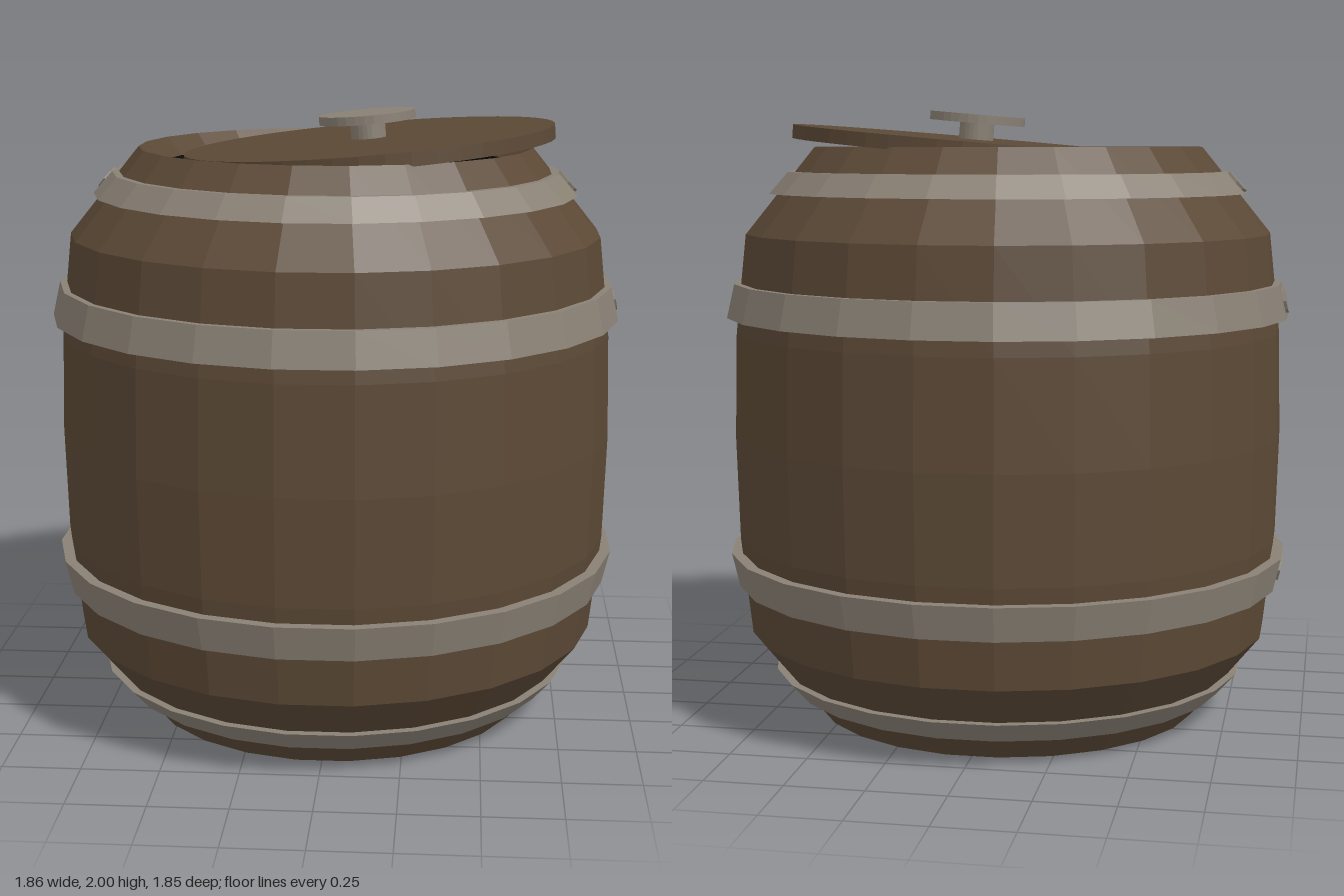
import * as THREE from 'three';

const SIDES = 24;
const MID = 0.94; // half the barrel height, the mirror plane of the hoops
const K = 1 / Math.cos(Math.PI / SIDES); // flat-to-corner radius

const material = (name, color, side = THREE.FrontSide) => {
  const m = new THREE.MeshStandardMaterial({ color, flatShading: true, side });
  m.name = name;
  return m;
};

export function createModel() {
  const wood = material('wood', 0x5c4936);
  const iron = material('iron', 0x8a8175);
  const dark = material('dark interior', 0x0b0b0b);

  const model = new THREE.Group();
  model.name = 'barrel';

  const add = (parent, name, geometry, mat) => {
    const mesh = new THREE.Mesh(geometry, mat);
    mesh.name = name;
    parent.add(mesh);
    return mesh;
  };
  // Faceted ring or shell from [radius, height] pairs, flats facing the axes
  const turned = (profile) => new THREE.LatheGeometry(
    profile.map(([r, y]) => new THREE.Vector2(r * K, y)), SIDES, Math.PI / SIDES);

  // Body with closed base and bevelled mouth
  add(model, 'body', turned([
    [0, 0], [0.635, 0], [0.86, 0.28], [0.895, 0.6], [0.904, 0.94],
    [0.895, 1.28], [0.86, 1.6], [0.635, 1.88], [0.58, 1.82],
  ]), wood);

  // Dark inside seen past the shifted lid
  add(model, 'interior', turned([[0.58, 1.82], [0.575, 1.78], [0, 1.78]]), dark);

  // Hoops: lower edge, upper edge, mirrored to the bottom half
  const hoops = [
    { y0: 1.33, r0: 0.925, y1: 1.44, r1: 0.9 },
    { y0: 1.73, r0: 0.783, y1: 1.8, r1: 0.722 },
  ];
  for (const { y0, r0, y1, r1 } of hoops) {
    for (const up of [1, -1]) {
      const flip = (y) => (up > 0 ? y : 2 * MID - y);
      const profile = [[r0 - 0.05, y0], [r0, y0], [r1, y1], [r1 - 0.03, y1]]
        .map(([r, y]) => [r, flip(y)]);
      if (up < 0) profile.reverse();
      add(model, up > 0 ? 'upperHoop' : 'lowerHoop', turned(profile), iron);

      // One rivet on each side, square to the hoop face
      for (const s of [1, -1]) {
        const normal = new THREE.Vector3(s * (y1 - y0), up * (r0 - r1), 0).normalize();
        const rivet = add(model, 'rivet', new THREE.CylinderGeometry(0.042, 0.042, 0.018, 8), iron);
        rivet.position.set(s * (r0 + r1) / 2, flip((y0 + y1) / 2), 0);
        rivet.quaternion.setFromUnitVectors(new THREE.Vector3(0, 1, 0), normal);
      }
    }
  }

  // Tilted lid, slid to one side, with its knob
  const lid = new THREE.Group();
  lid.name = 'lid';
  lid.position.set(0.108, 1.904, 0);
  lid.rotation.z = THREE.MathUtils.degToRad(4.9);
  model.add(lid);
  add(lid, 'lidBoard', new THREE.CylinderGeometry(0.604, 0.604, 0.044, 48), wood).position.y = -0.022;
  add(lid, 'knobStem', new THREE.CylinderGeometry(0.057, 0.057, 0.06, 24), iron).position.y = 0.025;
  add(lid, 'knobDisc', new THREE.CylinderGeometry(0.157, 0.157, 0.028, 32), iron).position.y = 0.068;

  return model;
}
